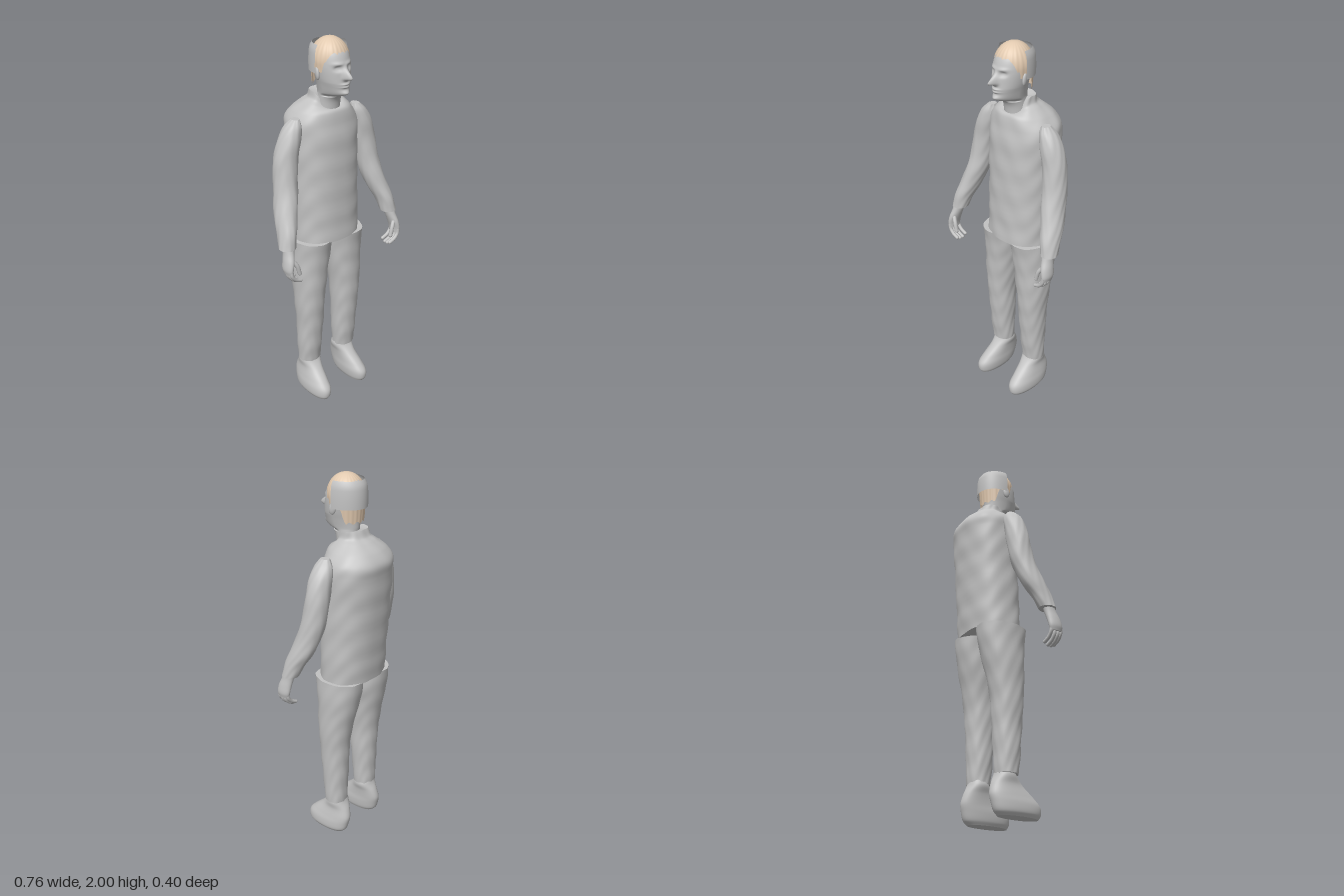
import * as THREE from 'three';

const grey = new THREE.MeshStandardMaterial({ color: 0xc2c2c2 });
grey.name = 'plain grey';
const blond = new THREE.MeshStandardMaterial({ color: 0xe2cab0, side: THREE.DoubleSide });
blond.name = 'blond hair';
const greyOpen = new THREE.MeshStandardMaterial({ color: 0xc2c2c2, side: THREE.DoubleSide });
greyOpen.name = 'plain grey open';

const gauss = (v, w) => Math.exp(-((v / w) ** 2));

// Smooth body through rings [y, cx, cz, rx, rz], listed from bottom to top
function loft(rings, { s = 1, n = 40, steps = 36, power = 2, warp, caps = true } = {}) {
  const mid = new THREE.CatmullRomCurve3(rings.map(r => new THREE.Vector3(r[1] * s, r[0], r[2])));
  const rad = new THREE.CatmullRomCurve3(rings.map(r => new THREE.Vector3(r[3], r[0], r[4])));
  const pos = [], idx = [];
  const sup = v => Math.sign(v) * Math.abs(v) ** (2 / power);
  for (let i = 0; i <= steps; i++) {
    const t = i / steps, c = mid.getPoint(t), r = rad.getPoint(t);
    for (let j = 0; j < n; j++) {
      const a = (j / n) * Math.PI * 2;
      const p = new THREE.Vector3(c.x + r.x * sup(Math.cos(a)), c.y, c.z + r.z * sup(Math.sin(a)));
      if (warp) warp(p, a, t);
      pos.push(p.x, p.y, p.z);
      if (i < steps) {
        const k = (j + 1) % n, A = i * n + j, B = i * n + k;
        idx.push(A, A + n, B, B, A + n, B + n);
      }
    }
  }
  // Flat end caps with their own vertices
  if (caps) for (const row of [0, steps]) {
    const first = pos.length / 3, m = new THREE.Vector3();
    for (let j = 0; j < n; j++) {
      const q = new THREE.Vector3().fromArray(pos, (row * n + j) * 3);
      m.addScaledVector(q, 1 / n);
      pos.push(q.x, q.y, q.z);
    }
    pos.push(m.x, m.y, m.z);
    for (let j = 0; j < n; j++) {
      const A = first + j, B = first + (j + 1) % n;
      if (row === 0) idx.push(first + n, A, B); else idx.push(first + n, B, A);
    }
  }
  const g = new THREE.BufferGeometry();
  g.setAttribute('position', new THREE.Float32BufferAttribute(pos, 3));
  g.setIndex(idx);
  g.computeVertexNormals();
  return g;
}

function add(parent, name, geometry, material = grey) {
  const m = new THREE.Mesh(geometry, material);
  m.name = name;
  parent.add(m);
  return m;
}

// Shallow cloth folds
const folds = amp => (p, a) => {
  const w = amp * Math.sin(p.y * 38 + 3 * Math.sin(a * 2)) * Math.sin(a * 5 + p.y * 9);
  p.x += w * Math.cos(a);
  p.z += w * Math.sin(a);
};

// Face relief: nose, eye sockets, brow, lips and chin
function face(p, a) {
  const front = Math.max(0, Math.sin(a)), y = p.y;
  if (y > 1.72 && y < 1.8) p.x *= 1 - 0.28 * front * (1.8 - y) / 0.08;
  if (front < 0.2) return;
  const x = Math.abs(p.x);
  p.z += 0.05 * gauss(x, 0.014) * gauss(y - 1.828, y > 1.828 ? 0.032 : 0.012)
    - 0.014 * gauss(x - 0.034, 0.016) * gauss(y - 1.869, 0.011)
    + 0.005 * gauss(x - 0.034, 0.01) * gauss(y - 1.868, 0.005)
    + 0.006 * gauss(x - 0.03, 0.025) * gauss(y - 1.89, 0.008)
    + 0.009 * gauss(x, 0.024) * (gauss(y - 1.794, 0.005) + gauss(y - 1.781, 0.005))
    + 0.014 * gauss(x, 0.025) * gauss(y - 1.75, 0.012);
}

// Hair shell whose lower edge is high over the forehead and low at the nape
function hairWarp(p, a, t) {
  const s = Math.sin(a), c = Math.cos(a);
  const step = THREE.MathUtils.smoothstep;
  const edge = 1.77 + 0.08 * step(s, -0.65, -0.2) + 0.085 * step(s, 0.4, 0.8)
    + 0.006 * Math.sin(a * 13);
  const y = edge + (2 - edge) * Math.sin(t * Math.PI / 2);
  const r = y > 1.89 ? Math.sqrt(Math.max(0, 1 - ((y - 1.89) / 0.11) ** 2)) : 1 - (1.89 - y) * 0.9;
  const k = r * (1 + 0.012 * Math.sin(a * 24));
  p.set(0.093 * c * k, y, 0.032 + (s > 0 ? 0.1 : 0.096) * s * k);
}

export function createModel() {
  const model = new THREE.Group();
  model.name = 'standingMan';

  // Shirt with a collar that dips at the front
  const cloth = folds(0.003);
  add(model, 'shirt', loft([
    [0.955, 0.003, -0.01, 0.186, 0.14], [1.1, 0.003, -0.018, 0.186, 0.143],
    [1.35, 0.003, -0.03, 0.186, 0.15], [1.53, 0.003, -0.04, 0.19, 0.152],
    [1.59, 0.002, -0.045, 0.183, 0.148], [1.64, 0, -0.035, 0.15, 0.128],
    [1.68, 0, -0.02, 0.105, 0.095], [1.7, 0, -0.015, 0.082, 0.072],
    [1.735, 0, -0.014, 0.076, 0.058],
  ], {
    n: 64, steps: 64, power: 2.3,
    warp(p, a, t) {
      cloth(p, a);
      const up = THREE.MathUtils.smoothstep(p.y, 1.64, 1.735);
      p.y -= 0.065 * up * Math.max(0, Math.sin(a)) ** 2;
    },
  }));

  // Head and neck
  const head = new THREE.Group();
  head.name = 'head';
  model.add(head);
  add(head, 'faceAndNeck', loft([
    [1.62, 0, 0.015, 0.062, 0.06], [1.7, 0, 0.025, 0.058, 0.062],
    [1.725, 0, 0.035, 0.058, 0.072], [1.74, 0, 0.054, 0.062, 0.092],
    [1.78, 0, 0.058, 0.071, 0.096], [1.82, 0, 0.054, 0.08, 0.097],
    [1.88, 0, 0.044, 0.086, 0.1], [1.93, 0, 0.034, 0.081, 0.093],
    [1.97, 0, 0.03, 0.055, 0.064], [1.985, 0, 0.03, 0.025, 0.03],
  ], { n: 96, steps: 100, warp: face }));
  add(head, 'hair', loft([[0, 0, 0, 1, 1], [1, 0, 0, 1, 1]],
    { n: 96, steps: 24, warp: hairWarp, caps: false }), blond);
  for (const s of [-1, 1]) {
    const ear = add(head, 'ear', new THREE.SphereGeometry(1, 16, 12));
    ear.scale.set(0.01, 0.032, 0.018);
    ear.position.set(s * 0.087, 1.838, 0.046);
    ear.rotation.set(-0.15, s * 0.35, 0);
  }

  // Band wrapped around the back of the head
  const profile = [[0.1, 1.84], [0.101, 1.88], [0.099, 1.93], [0.094, 1.955], [0.084, 1.972]]
    .map(q => new THREE.Vector2(...q));
  const band = add(head, 'backHeadBand', new THREE.LatheGeometry(profile, 32, Math.PI / 2, Math.PI), greyOpen);
  band.scale.z = 1.22;
  band.position.z = 0.045;

  for (const s of [-1, 1]) {
    const side = s > 0 ? 'left' : 'right';

    // Sleeve
    add(model, side + 'Sleeve', loft([
      [1.02, 0.338, 0.118, 0.043, 0.045], [1.08, 0.326, 0.098, 0.045, 0.055],
      [1.15, 0.306, 0.066, 0.053, 0.064], [1.25, 0.278, 0.032, 0.058, 0.066],
      [1.35, 0.262, 0.01, 0.06, 0.063], [1.45, 0.247, 0.003, 0.062, 0.06],
      [1.54, 0.223, 0.002, 0.055, 0.057], [1.59, 0.205, 0.003, 0.042, 0.046],
      [1.625, 0.19, 0.004, 0.02, 0.024],
    ], { s, warp: folds(0.002) }));

    // Hand with curled fingers
    const hand = new THREE.Group();
    hand.name = side + 'Hand';
    model.add(hand);
    add(hand, 'palm', loft([
      [0.895, 0.358, 0.15, 0.016, 0.034], [0.92, 0.36, 0.148, 0.02, 0.039],
      [0.96, 0.352, 0.143, 0.024, 0.039], [1.0, 0.342, 0.132, 0.026, 0.034],
      [1.04, 0.336, 0.122, 0.028, 0.031],
    ], { s, n: 24, steps: 20 }));
    const digit = (name, pts, r) => {
      const v = pts.map(q => new THREE.Vector3(q[0] * s, q[1], q[2]));
      add(hand, name, new THREE.TubeGeometry(new THREE.CatmullRomCurve3(v), 12, r, 10));
      add(hand, name + 'Tip', new THREE.SphereGeometry(r, 10, 8)).position.copy(v[v.length - 1]);
    };
    for (let i = 0; i < 4; i++) {
      const z = 0.122 + i * 0.019, drop = [0.012, 0, 0, 0.008][i];
      digit('finger', [[0.36, 0.915, z], [0.356, 0.88 + drop, z],
        [0.335, 0.855 + drop, z], [0.305, 0.84 + drop, z - 0.002]], 0.0095);
    }
    digit('thumb', [[0.345, 0.97, 0.16], [0.322, 0.935, 0.173], [0.309, 0.89, 0.176]], 0.011);

    // Trouser leg
    add(model, side + 'TrouserLeg', loft([
      [0.2, 0.122, 0.006, 0.061, 0.056], [0.3, 0.122, 0.01, 0.066, 0.064],
      [0.45, 0.121, 0.013, 0.071, 0.074], [0.6, 0.122, 0.013, 0.079, 0.085],
      [0.75, 0.115, 0.002, 0.092, 0.104], [0.85, 0.108, -0.006, 0.1, 0.119],
      [0.96, 0.103, -0.007, 0.104, 0.135],
    ], { s, power: 2.15, warp: folds(0.0025) }));

    // Boot with a flat sole and rounded toe
    add(model, side + 'Boot', loft([
      [0, 0.132, 0.064, 0.044, 0.112], [0.02, 0.133, 0.06, 0.054, 0.128],
      [0.06, 0.131, 0.053, 0.057, 0.134], [0.1, 0.127, 0.032, 0.053, 0.12],
      [0.15, 0.12, 0.01, 0.051, 0.085], [0.19, 0.117, 0.001, 0.058, 0.056],
      [0.22, 0.117, 0, 0.05, 0.045],
    ], { s, power: 2.2 }));
  }
  return model;
}
